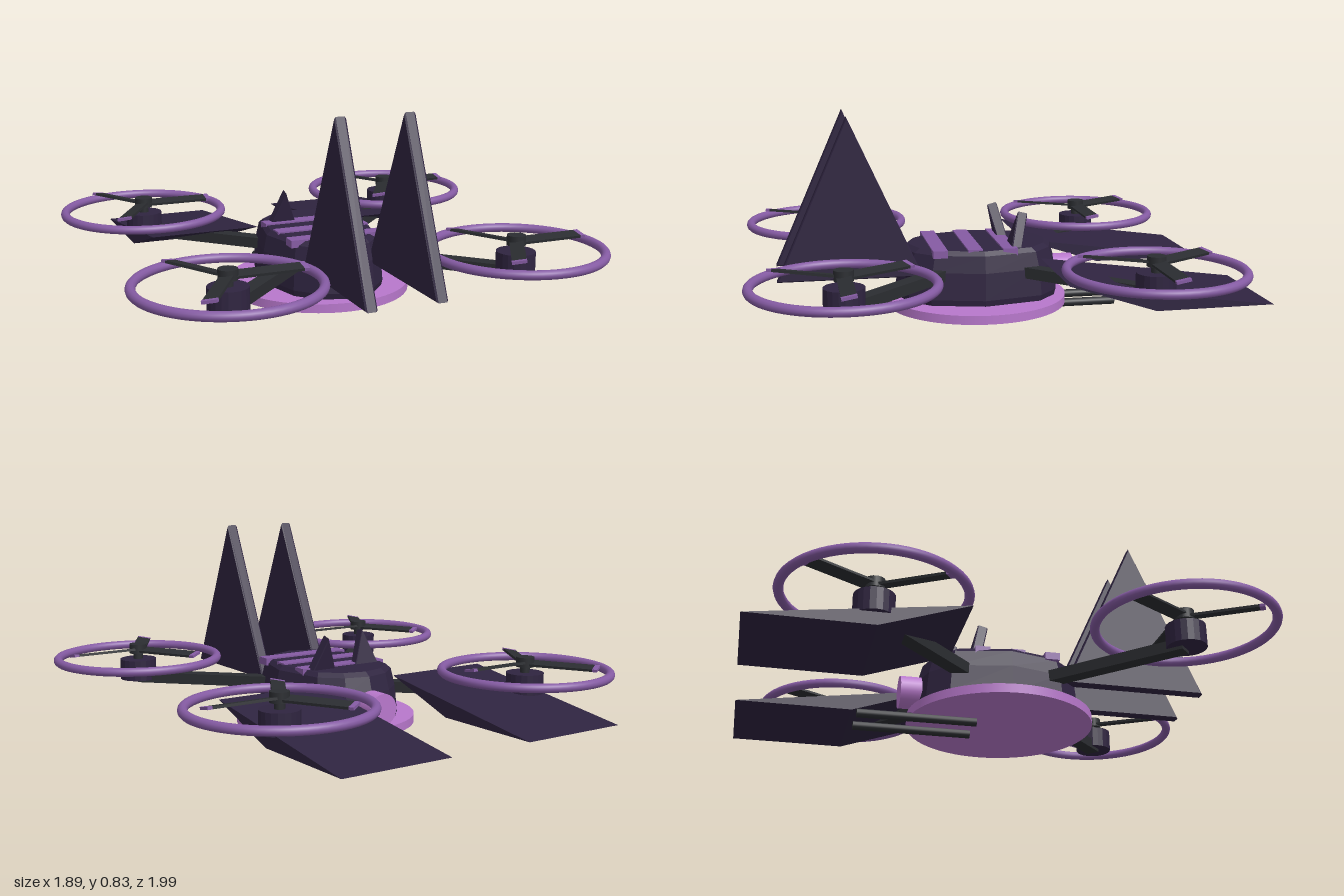
import * as THREE from 'three';

const mat = (name, color) => Object.assign(new THREE.MeshStandardMaterial({ color }), { name });

export function createModel() {
  const model = new THREE.Group();
  model.name = 'drone';
  const shell = mat('dark purple shell', 0x2f2440);
  shell.flatShading = true;
  const violet = mat('violet trim', 0x855ba3);
  const orchid = mat('orchid', 0xb878cc);
  const grey = mat('charcoal', 0x2b2d31);

  function add(parent, name, geometry, material, x = 0, y = 0, z = 0) {
    const mesh = new THREE.Mesh(geometry, material);
    mesh.name = name;
    mesh.position.set(x, y, z);
    parent.add(mesh);
    return mesh;
  }
  // Closed polygon extruded along z and centred on its depth
  function plate(points, depth, bevel = 0) {
    const shape = new THREE.Shape(points.map(p => new THREE.Vector2(p[0], p[1])));
    const geo = new THREE.ExtrudeGeometry(shape, {
      depth: depth - 2 * bevel, bevelEnabled: bevel > 0, bevelThickness: bevel,
      bevelSize: bevel, bevelOffset: -bevel, bevelSegments: 1,
    });
    return geo.translate(0, 0, -(depth - 2 * bevel) / 2);
  }

  // Faceted body: an egg-shaped plan lofted through four levels
  const half = [[0, 0.388], [0.12, 0.345], [0.195, 0.265], [0.25, 0.05],
    [0.2, -0.19], [0.11, -0.27], [0, -0.3]];
  const plan = [...half, ...half.slice(1, -1).reverse().map(([x, z]) => [-x, z])];
  const levels = [[0.065, 0.98], [0.09, 1], [0.2, 0.965], [0.268, 0.91], [0.285, 0.84]];
  const n = plan.length, verts = [], index = [];
  for (const [y, s] of levels) {
    for (const [x, z] of plan) verts.push(x * s, y, 0.045 + (z - 0.045) * s);
  }
  for (let l = 0; l < levels.length - 1; l++) {
    for (let i = 0; i < n; i++) {
      const a = l * n + i, b = l * n + (i + 1) % n;
      index.push(a, b, b + n, a, b + n, a + n);
    }
  }
  const top = (levels.length - 1) * n;
  for (let i = 1; i < n - 1; i++) index.push(top, top + i, top + i + 1, 0, i + 1, i);
  const bodyGeo = new THREE.BufferGeometry();
  bodyGeo.setAttribute('position', new THREE.Float32BufferAttribute(verts, 3));
  bodyGeo.setIndex(index);
  bodyGeo.computeVertexNormals();
  add(model, 'body', bodyGeo, shell);

  // Stripes across the back
  for (const z of [-0.06, 0.083, 0.225]) {
    add(model, 'stripe', new THREE.BoxGeometry(0.4, 0.03, 0.06), violet, 0, 0.276, z);
  }

  // Round base and rear nozzle
  add(model, 'baseDisc', new THREE.CylinderGeometry(0.375, 0.375, 0.036, 64), orchid, 0, 0.048, 0.048);
  add(model, 'rearNozzle', new THREE.CylinderGeometry(0.066, 0.066, 0.085, 24).rotateX(Math.PI / 2),
    orchid, 0, 0.148, -0.32);

  const finGeo = plate([[-0.29, 0.182], [-0.87, 0.182], [-0.585, 0.83]], 0.047, 0.006).rotateY(Math.PI / 2);
  const wingGeo = plate([[0.19, 0.24], [0.53, 0.128], [1, 0.13]], 0.46).rotateY(Math.PI / 2);
  const earGeo = plate([[-0.068, 0], [0.068, 0], [0, 0.175]], 0.042, 0.004);

  for (const side of [-1, 1]) {
    // Tall front fins and broad rear wings
    add(model, 'frontFin', finGeo, shell, side * 0.14);
    add(model, 'rearWing', wingGeo, shell, side * 0.41);
    // Ears, one leaning forward and one back
    const ear = add(model, 'ear', earGeo, shell, side * 0.112, 0.25, -0.085);
    ear.rotation.set(-side * 0.25, 0, 0);
    // Rear rods under the base
    add(model, 'rearRod', new THREE.CylinderGeometry(0.0175, 0.0175, 0.475, 12).rotateX(Math.PI / 2),
      grey, side * 0.07, 0.0175, -0.297);

    // Arms and ducted rotors
    for (const end of [-1, 1]) {
      const dx = side * 0.588, z = 0.047 + end * 0.588;
      const arm = add(model, 'arm', new THREE.BoxGeometry(0.06, 0.045, 0.82), grey, dx / 2, 0.188, (z + 0.047) / 2);
      arm.rotation.y = side * end * Math.PI / 4;

      const rotor = new THREE.Group();
      rotor.name = 'rotor';
      rotor.position.set(dx, 0, z);
      model.add(rotor);
      add(rotor, 'motor', new THREE.CylinderGeometry(0.077, 0.077, 0.087, 20), shell, 0, 0.222, 0);
      add(rotor, 'shaft', new THREE.CylinderGeometry(0.02, 0.02, 0.06, 12), grey, 0, 0.285, 0);
      add(rotor, 'hubCap', new THREE.CylinderGeometry(0.037, 0.037, 0.04, 20), grey, 0, 0.31, 0);
      add(rotor, 'guardRing', new THREE.TorusGeometry(0.34, 0.0185, 12, 64).rotateX(Math.PI / 2), violet, 0, 0.27, 0);
      for (let i = 0; i < 3; i++) {
        const blade = new THREE.Group();
        blade.name = 'blade';
        blade.position.y = 0.305;
        blade.rotation.y = i * Math.PI * 2 / 3;
        rotor.add(blade);
        add(blade, 'bladeSpan', new THREE.BoxGeometry(0.28, 0.01, 0.055), grey, 0.14).rotation.x = 0.18;
        add(blade, 'bladeTip', new THREE.BoxGeometry(0.02, 0.011, 0.056), violet, 0.29).rotation.x = 0.18;
      }
    }
  }
  return model;
}
